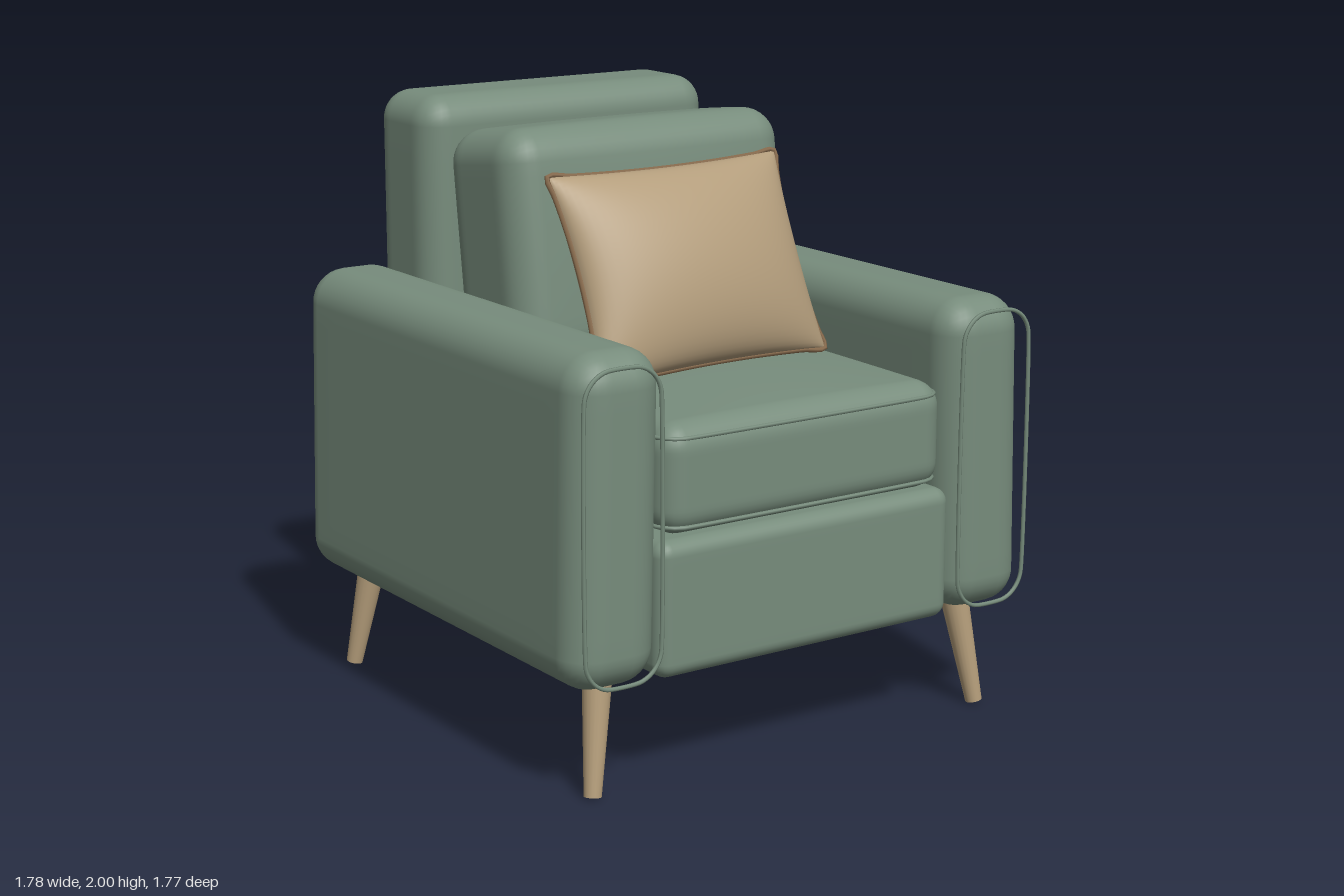
import * as THREE from 'three';
import { mergeVertices } from 'three/addons/utils/BufferGeometryUtils.js';

const mats = {
  fabric: new THREE.MeshStandardMaterial({ name: 'sage fabric', color: 0x778c7c }),
  pillow: new THREE.MeshStandardMaterial({ name: 'tan fabric', color: 0xb39d7c }),
  trim: new THREE.MeshStandardMaterial({ name: 'brown piping', color: 0x876a4c }),
  wood: new THREE.MeshStandardMaterial({ name: 'light wood', color: 0xb59e7b }),
};

function add(parent, name, geometry, material, x = 0, y = 0, z = 0) {
  const mesh = new THREE.Mesh(geometry, material);
  mesh.name = name;
  mesh.position.set(x, y, z);
  parent.add(mesh);
  return mesh;
}

// Applies a rule to every vertex and rebuilds smooth normals
function deform(geometry, rule) {
  geometry.deleteAttribute('uv');
  geometry.deleteAttribute('normal');
  const g = mergeVertices(geometry, 1e-5);
  const pos = g.attributes.position;
  const p = new THREE.Vector3();
  for (let i = 0; i < pos.count; i++) {
    rule(p.fromBufferAttribute(pos, i));
    pos.setXYZ(i, p.x, p.y, p.z);
  }
  g.computeVertexNormals();
  return g;
}

// Upholstered block: rounded edges, optional crown on top and front/back, sideways lean
function softBox(w, h, d, r, { crown = 0, belly = 0, lean = 0 } = {}) {
  const half = new THREE.Vector3(w / 2, h / 2, d / 2);
  const inner = new THREE.Vector3();
  const spread = (t, size) => {
    const a = Math.abs(t);
    const core = size - r;
    const v = a <= 0.6 ? (a / 0.6) * core : core + r * Math.tan(((a - 0.6) / 0.4) * Math.PI / 4);
    return Math.sign(t) * v;
  };
  return deform(new THREE.BoxGeometry(2, 2, 2, 20, 20, 20), (p) => {
    p.set(spread(p.x, half.x), spread(p.y, half.y), spread(p.z, half.z));
    inner.set(
      THREE.MathUtils.clamp(p.x, r - half.x, half.x - r),
      THREE.MathUtils.clamp(p.y, r - half.y, half.y - r),
      THREE.MathUtils.clamp(p.z, r - half.z, half.z - r));
    p.sub(inner).setLength(r).add(inner);
    const u = 1 - (p.x / half.x) ** 2;
    const v = 1 - (p.y / half.y) ** 2;
    const s = 1 - (p.z / half.z) ** 2;
    if (p.y > 0) p.y += crown * u * s;
    p.z += Math.sign(p.z) * belly * u * v;
    p.x += lean * p.y / half.y;
  });
}

// Thin welt following a rounded rectangle in the XY plane
function weltLoop(w, h, r, tube) {
  const points = [];
  const corners = [[1, 1], [-1, 1], [-1, -1], [1, -1]];
  corners.forEach(([sx, sy], k) => {
    for (let i = 0; i <= 6; i++) {
      const a = (k + i / 6) * Math.PI / 2;
      points.push(new THREE.Vector3(
        sx * (w / 2 - r) + r * Math.cos(a), sy * (h / 2 - r) + r * Math.sin(a), 0));
    }
  });
  return new THREE.TubeGeometry(new THREE.CatmullRomCurve3(points, true), 160, tube, 6, true);
}

// Pillow outline: edges curve inwards between pointed corners
const PW = 0.47, PH = 0.345;
function pillowEdge(u, v, z = 0) {
  return new THREE.Vector3(
    PW * u * (1 - 0.065 * (1 - v * v)), PH * v * (1 - 0.045 * (1 - u * u)), z);
}

function buildPillow() {
  const pillow = new THREE.Group();
  pillow.name = 'throwPillow';
  for (const side of [1, -1]) {
    const half = new THREE.PlaneGeometry(2, 2, 30, 30);
    if (side < 0) half.rotateY(Math.PI);
    const g = deform(half, (p) => {
      const u = Math.sin(p.x * Math.PI / 2), v = Math.sin(p.y * Math.PI / 2);
      const puff = Math.sqrt(Math.max(0, (1 - u * u) * (1 - v * v)));
      p.copy(pillowEdge(u, v, side * 0.15 * puff));
    });
    add(pillow, side > 0 ? 'pillowFront' : 'pillowBack', g, mats.pillow);
  }
  const points = [];
  const n = 10;
  for (let i = 0; i < n; i++) points.push(pillowEdge(1 - 2 * i / n, 1));
  for (let i = 0; i < n; i++) points.push(pillowEdge(-1, 1 - 2 * i / n));
  for (let i = 0; i < n; i++) points.push(pillowEdge(-1 + 2 * i / n, -1));
  for (let i = 0; i < n; i++) points.push(pillowEdge(1, -1 + 2 * i / n));
  const path = new THREE.CatmullRomCurve3(points, true);
  add(pillow, 'pillowPiping', new THREE.TubeGeometry(path, 160, 0.009, 6, true), mats.trim);
  pillow.rotation.set(-0.41, 0.06, 0, 'YXZ');
  pillow.position.set(-0.01, 1.495, 0.2);
  return pillow;
}

export function createModel() {
  const chair = new THREE.Group();
  chair.name = 'armchair';

  // Body
  add(chair, 'baseFrame', softBox(1.15, 0.44, 1.69, 0.05), mats.fabric, 0, 0.58, 0.01);
  add(chair, 'backrest', softBox(1.15, 1.64, 0.37, 0.1), mats.fabric, 0, 1.18, -0.7);

  // Seat cushion with welts along its upper and lower edges
  add(chair, 'seatCushion', softBox(1.1, 0.355, 1.37, 0.085, { crown: 0.03 }),
    mats.fabric, 0, 0.98, 0.165);
  for (const y of [1.115, 0.835]) {
    const welt = add(chair, 'seatWelt', weltLoop(1.08, 1.35, 0.08, 0.007), mats.fabric, 0, y, 0.165);
    welt.rotation.x = Math.PI / 2;
  }

  // Leaning back cushion
  const cushion = add(chair, 'backCushion', softBox(1.1, 0.77, 0.45, 0.11, { belly: 0.018, crown: 0.008 }),
    mats.fabric, 0, 1.54, -0.21);
  cushion.rotation.x = -0.13;

  chair.add(buildPillow());

  // Arms, front welts and splayed legs
  const up = new THREE.Vector3(0, 1, 0);
  for (const side of [1, -1]) {
    const label = side > 0 ? 'left' : 'right';
    add(chair, label + 'Arm', softBox(0.325, 1.05, 1.755, 0.115, { lean: -0.012 * side }),
      mats.fabric, side * 0.718, 0.885, -0.008);
    add(chair, label + 'ArmWelt', weltLoop(0.275, 0.985, 0.1, 0.007),
      mats.fabric, side * 0.724, 0.88, 0.878);

    for (const end of [1, -1]) {
      const top = new THREE.Vector3(side * 0.707, 0.42, end * 0.707);
      const foot = new THREE.Vector3(side * 0.767, 0.007, end * 0.767);
      const axis = top.clone().sub(foot);
      const leg = add(chair, label + (end > 0 ? 'FrontLeg' : 'BackLeg'),
        new THREE.CylinderGeometry(0.05, 0.028, axis.length(), 20), mats.wood);
      leg.position.copy(top).add(foot).multiplyScalar(0.5);
      leg.quaternion.setFromUnitVectors(up, axis.normalize());
    }
  }
  return chair;
}
